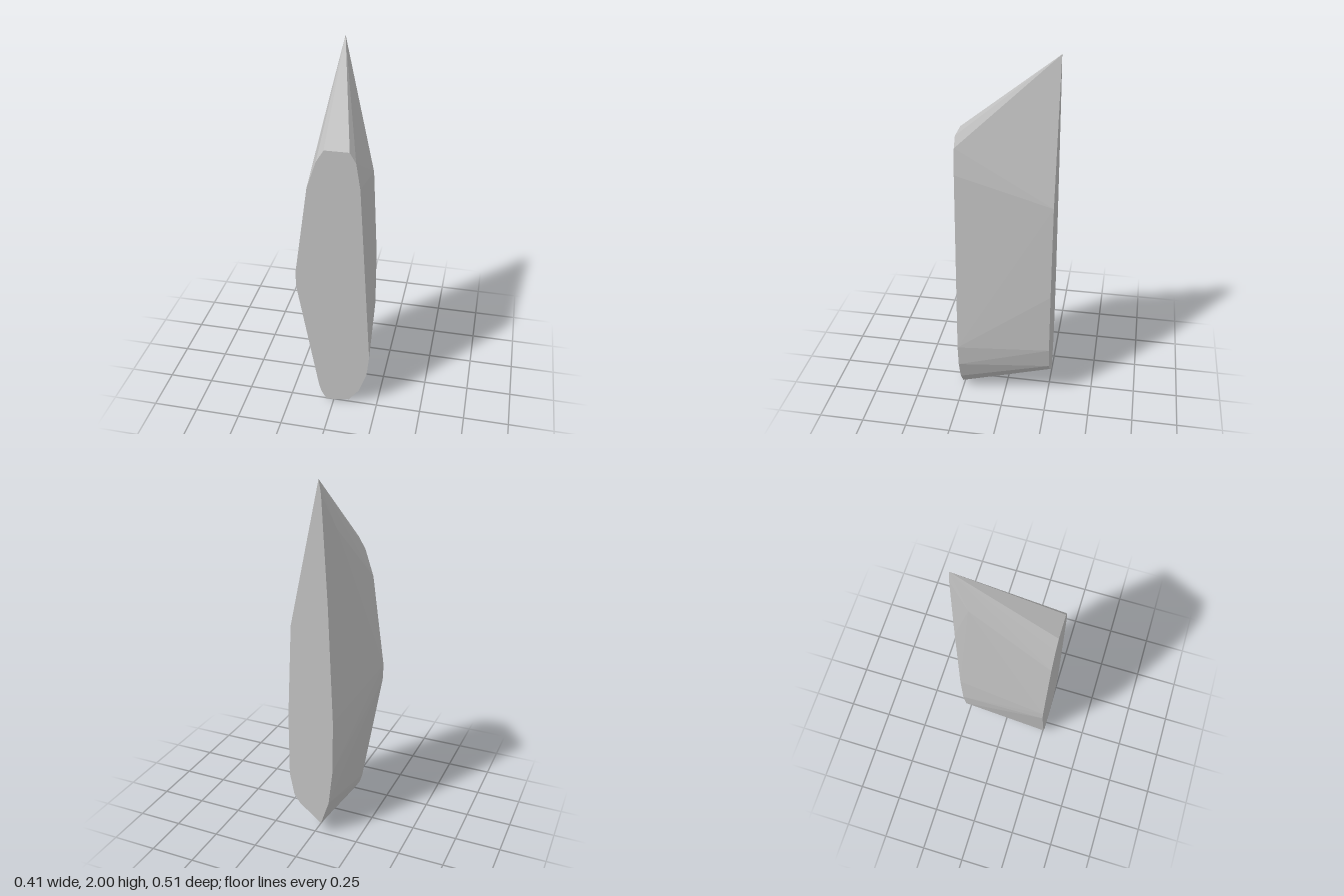
import * as THREE from 'three';
import { ConvexGeometry } from 'three/addons/geometries/ConvexGeometry.js';

export function createModel() {
  const group = new THREE.Group();
  group.name = 'shard';
  const stone = new THREE.MeshStandardMaterial({ color: 0xc2c2c2 });
  stone.name = 'pale grey stone';

  const half = 0.257;
  // Broad front outline
  const front = [
    [-0.04, 0], [0.09, 0.02], [0.148, 0.1], [0.19, 0.22], [0.203, 0.35],
    [0.142, 1.4], [0.12, 1.54], [0.088, 1.595], [-0.04, 1.595], [-0.08, 1.53],
    [-0.13, 1.38], [-0.203, 0.86], [-0.2, 0.77], [-0.085, 0.1], [-0.07, 0.05],
  ];
  // Narrow, pointed back outline
  const back = [
    [-0.04, 0.07], [0.087, 0.17], [0.122, 0.22], [0.148, 0.35], [0.148, 0.71],
    [0.122, 1.24], [-0.04, 2], [-0.052, 1.93], [-0.085, 1.38], [-0.113, 0.72],
    [-0.11, 0.42], [-0.087, 0.215],
  ];
  const points = [
    ...front.map(([x, y]) => new THREE.Vector3(x, y, half)),
    ...back.map(([x, y]) => new THREE.Vector3(x, y, -half)),
    new THREE.Vector3(-0.092, 1.75, -0.165), // chipped shoulder near the tip
  ];

  // Flat facets join the two outlines
  const body = new THREE.Mesh(new ConvexGeometry(points), stone);
  body.name = 'shardBody';
  group.add(body);
  return group;
}
